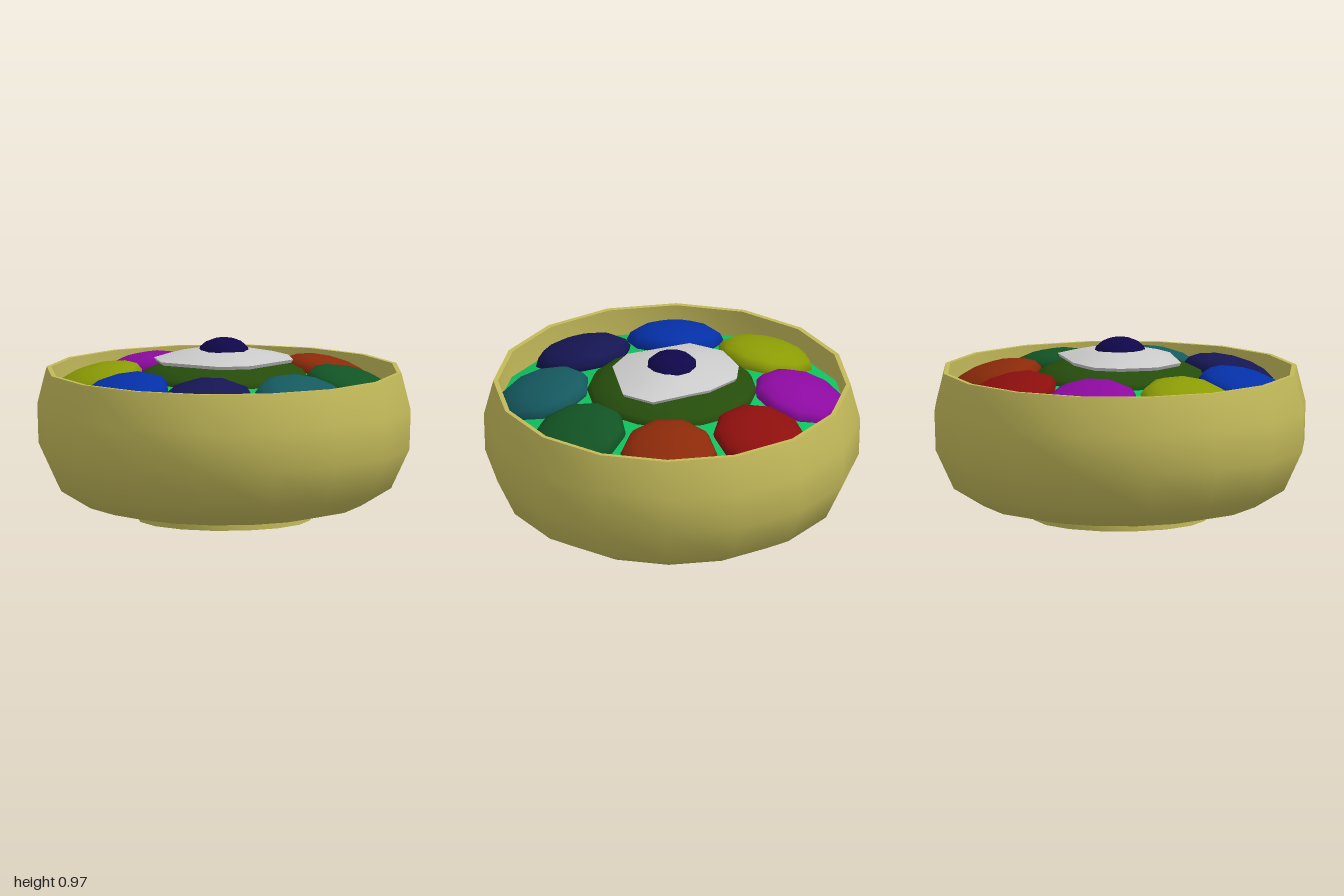
import * as THREE from 'three';
import { toCreasedNormals } from 'three/addons/utils/BufferGeometryUtils.js';

const SIDES = 16;

function addMesh(parent, name, geometry, color) {
  const mesh = new THREE.Mesh(geometry, new THREE.MeshStandardMaterial({ color }));
  mesh.name = name;
  parent.add(mesh);
  return mesh;
}

// Turned part from [radius, height] pairs, edges sharper than the crease angle kept
function turned(points, crease) {
  const profile = points.map(([r, y]) => new THREE.Vector2(r, y));
  return toCreasedNormals(new THREE.LatheGeometry(profile, SIDES), crease);
}

// Flattened ball, half sunk into the filling
function mound(radius, height, sides, rows = 8) {
  return new THREE.SphereGeometry(radius, sides, rows).scale(1, height / radius, 1);
}

// Irregular slab: one outline [x, z] repeated at several scales and heights
function slab(outline, rings) {
  const n = outline.length;
  const positions = [];
  const index = [];
  for (const [scale, y] of rings) {
    for (const [x, z] of outline) positions.push(x * scale, y, z * scale);
  }
  for (let r = 0; r < rings.length - 1; r++) {
    for (let i = 0; i < n; i++) {
      const j = (i + 1) % n;
      const a = r * n + i, b = r * n + j, c = a + n, d = b + n;
      index.push(a, c, b, b, c, d);
    }
  }
  const geometry = new THREE.BufferGeometry();
  geometry.setAttribute('position', new THREE.Float32BufferAttribute(positions, 3));
  geometry.setIndex(index);
  return toCreasedNormals(geometry, 1);
}

export function createModel() {
  const model = new THREE.Group();
  model.name = 'filledBowl';

  // Bowl: foot ring, outer wall, rim and inner wall in one profile
  addMesh(model, 'bowl', turned([
    [0, 0.045], [0.325, 0.045], [0.325, 0], [0.462, 0], [0.462, 0.042],
    [0.55, 0.042], [0.735, 0.083], [0.895, 0.18], [0.993, 0.39], [1, 0.6], [0.95, 0.8],
    [0.925, 0.8], [0.935, 0.6], [0.92, 0.41], [0.83, 0.23], [0.6, 0.12], [0, 0.1],
  ], 0.87), 0xc3ba5a);

  // Gently domed filling
  addMesh(model, 'filling', turned([
    [0.932, 0.645], [0.82, 0.68], [0.68, 0.712], [0.45, 0.757], [0.2, 0.785], [0, 0.79],
  ], 0.87), 0x10c05e);

  // Ring of coloured mounds leaning outward on the filling, clockwise from the back
  const colors = [0x8c0f0d, 0x8c2a0a, 0x125424, 0x155a60, 0x161654, 0x0530a8, 0x8c9c05, 0x8c0aa0];
  const ring = new THREE.Group();
  ring.name = 'moundRing';
  model.add(ring);
  colors.forEach((color, i) => {
    const angle = Math.PI - (i * Math.PI) / 4;
    const topping = addMesh(ring, 'mound' + (i + 1), mound(0.258, 0.102, 10), color);
    topping.position.set(0.683 * Math.sin(angle), 0.714, 0.683 * Math.cos(angle));
    topping.rotation.set(0.29, angle, 0, 'YXZ');
  });

  // Central leafy mound
  addMesh(model, 'centreMound', mound(0.455, 0.115, SIDES, 10), 0x264d0c).position.y = 0.752;

  // Fried egg: uneven white and a round yolk, outline clockwise from above
  const outline = [
    [0.18, 0.27], [0.02, 0.325], [-0.31, 0.19], [-0.375, 0], [-0.31, -0.19],
    [-0.2, -0.29], [0, -0.295], [0.13, -0.25], [0.32, -0.19], [0.37, -0.01],
  ];
  const rings = [[0, 0.845], [0.97, 0.842], [1, 0.86], [0.75, 0.885], [0.4, 0.91], [0, 0.914]];
  addMesh(model, 'eggWhite', slab(outline, rings), 0xe0e0e0);
  addMesh(model, 'eggYolk', mound(0.138, 0.08, 12), 0x10074a).position.y = 0.893;

  return model;
}
